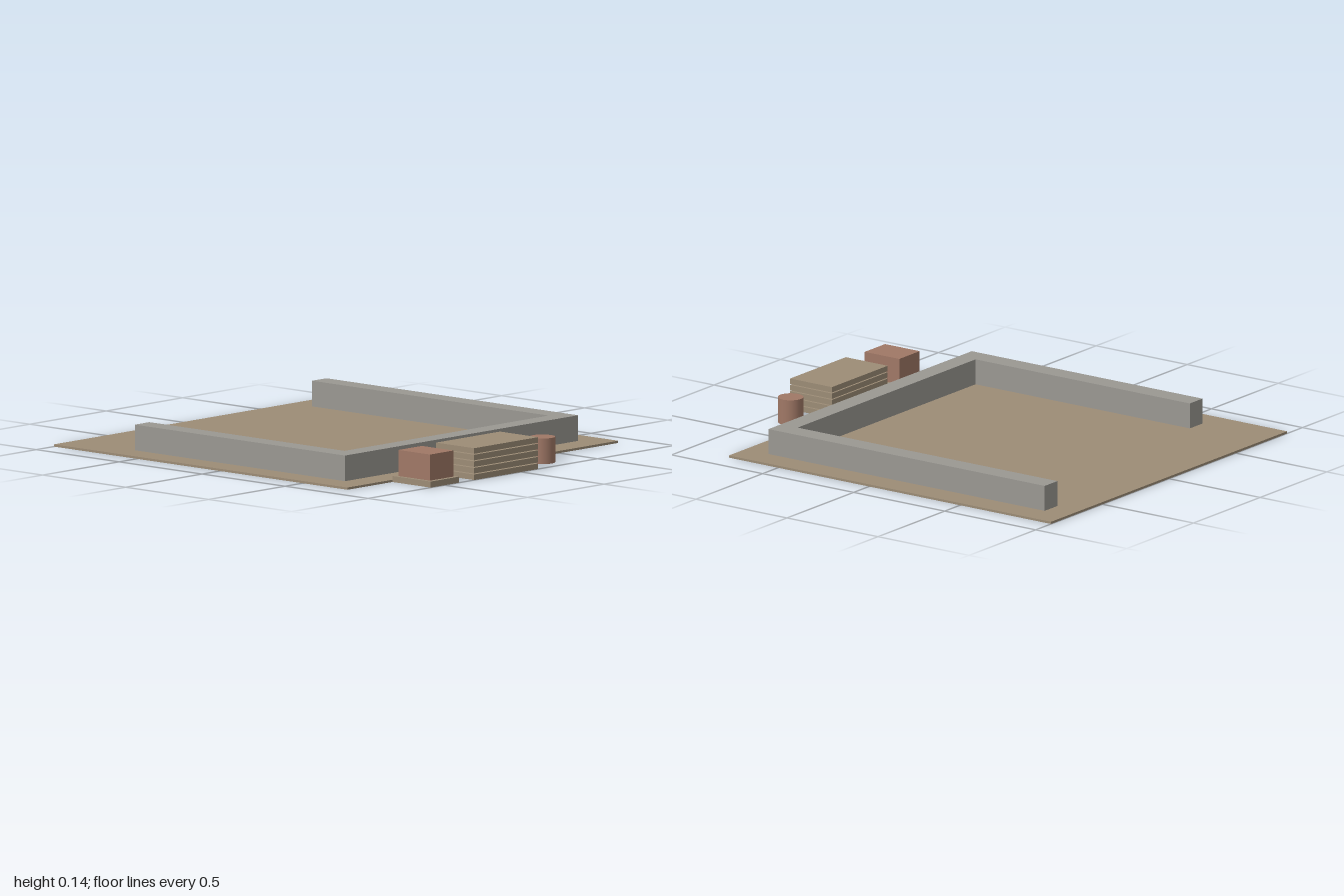
import * as THREE from 'three';

const material = (name, color) => {
  const m = new THREE.MeshStandardMaterial({ color });
  m.name = name;
  return m;
};

export function createModel() {
  const earth = material('earthBrown', 0x9c8c76);
  const stone = material('stoneGrey', 0x9a9892);
  const brick = material('brickRed', 0xa07866);
  const model = new THREE.Group();
  model.name = 'buildingSite';

  const add = (parent, name, geometry, mat) => {
    const mesh = new THREE.Mesh(geometry, mat);
    mesh.name = name;
    parent.add(mesh);
    return mesh;
  };
  // Box given by its limits on each axis
  const block = (parent, name, mat, [x0, x1], [y0, y1], [z0, z1]) => {
    const mesh = add(parent, name, new THREE.BoxGeometry(x1 - x0, y1 - y0, z1 - z0), mat);
    mesh.position.set((x0 + x1) / 2, (y0 + y1) / 2, (z0 + z1) / 2);
    return mesh;
  };

  // Thin ground slab
  block(model, 'ground', earth, [-1, 0.77], [0, 0.01], [-0.885, 0.885]);

  // Low wall on three sides, with a shorter front arm
  const outline = [
    [-0.875, -0.762], [0.642, -0.762], [0.642, 0.762], [-0.625, 0.762],
    [-0.625, 0.667], [0.552, 0.667], [0.552, -0.667], [-0.875, -0.667],
  ].map(([x, z]) => new THREE.Vector2(x, -z));
  const wall = new THREE.ExtrudeGeometry(new THREE.Shape(outline), { depth: 0.122, bevelEnabled: false });
  wall.rotateX(-Math.PI / 2);
  add(model, 'wall', wall, stone).position.y = 0.003;

  // Stack of planks separated by narrow gaps
  const stack = new THREE.Group();
  stack.name = 'plankStack';
  for (let i = 0; i < 5; i++) {
    const y = i * 0.0295;
    block(stack, 'plank', earth, [0.77, 1], [y, y + 0.025], [-0.112, 0.306]);
  }
  model.add(stack);

  // Pallet carrying a load of bricks
  const load = new THREE.Group();
  load.name = 'brickLoad';
  block(load, 'pallet', earth, [0.77, 1], [0, 0.027], [0.404, 0.591]);
  block(load, 'bricks', brick, [0.79, 0.98], [0.027, 0.144], [0.42, 0.573]);
  model.add(load);

  // Barrel
  const barrel = add(model, 'barrel', new THREE.CylinderGeometry(0.057, 0.057, 0.115, 24), brick);
  barrel.position.set(0.884, 0.0575, -0.266);

  return model;
}
